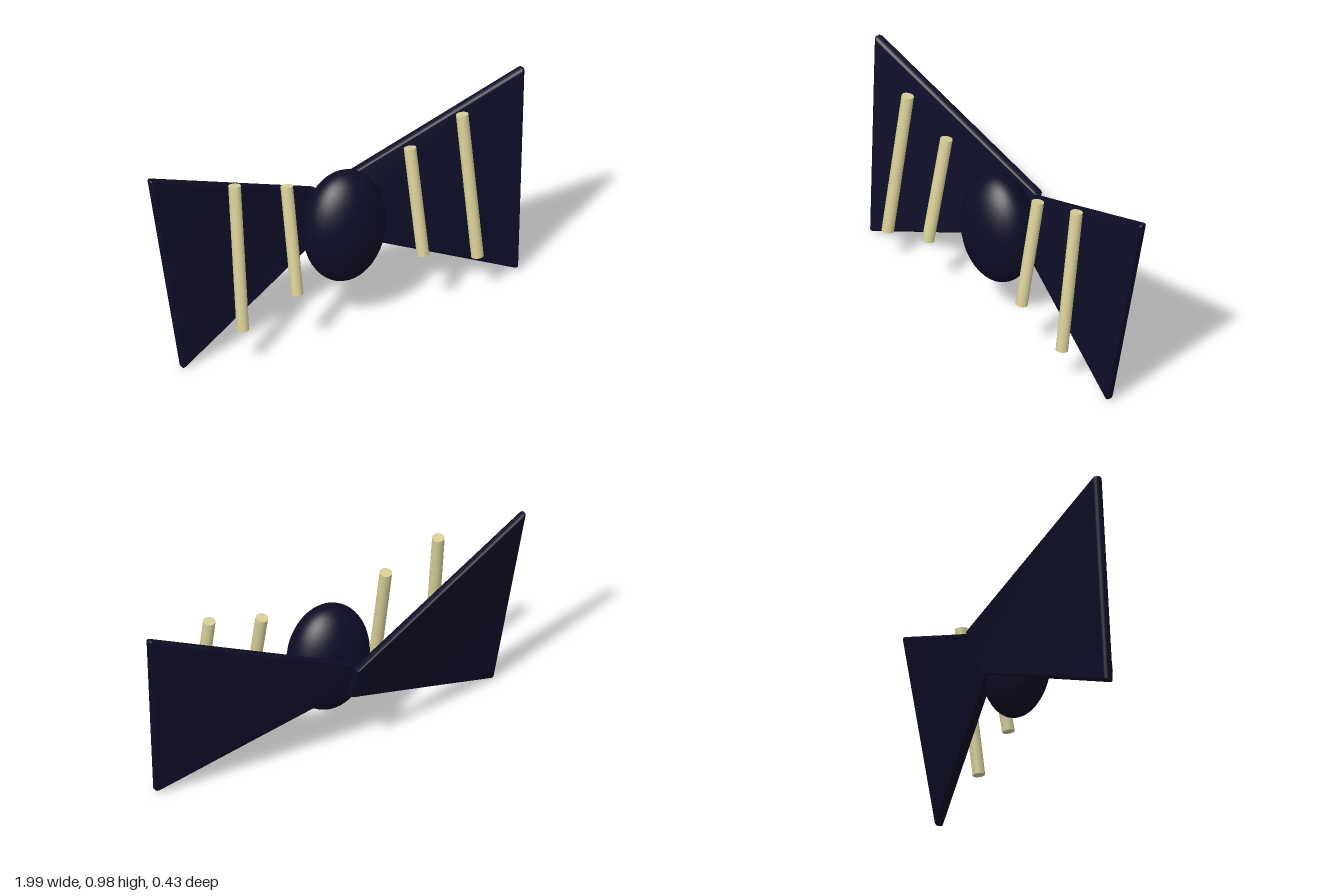
import * as THREE from 'three';
import { mergeVertices } from 'three/addons/utils/BufferGeometryUtils.js';
import { RoundedBoxGeometry } from 'three/addons/geometries/RoundedBoxGeometry.js';

const navy = new THREE.MeshStandardMaterial({ color: 0x0d0d26 });
navy.name = 'navy fabric';
const cream = new THREE.MeshStandardMaterial({ color: 0xd8cf98 });
cream.name = 'cream';

// Rounded plate stretched between four corners: lowA, lowB, highA, highB (A at -x, B at +x)
function plate(lowA, lowB, highA, highB) {
  const g = new RoundedBoxGeometry(1, 1, 0.044, 3, 0.018);
  g.deleteAttribute('uv');
  g.deleteAttribute('normal');
  const p = g.attributes.position;
  const low = new THREE.Vector3(), high = new THREE.Vector3();
  for (let i = 0; i < p.count; i++) {
    const u = p.getX(i) + 0.5, v = p.getY(i) + 0.5, depth = p.getZ(i);
    low.lerpVectors(lowA, lowB, u);
    high.lerpVectors(highA, highB, u);
    low.lerp(high, v);
    p.setXYZ(i, low.x, low.y, low.z + depth);
  }
  const merged = mergeVertices(g, 1e-5);
  merged.computeVertexNormals();
  return merged;
}

// One flared wing; the two differ by a small shift in height and depth
function wing(side, dy, dz) {
  const at = (x, y, z) => new THREE.Vector3(side * x, y + dy, z + dz);
  const innerLow = at(0, 0.375, -0.085), innerHigh = at(0, 0.562, -0.152);
  const outerLow = at(0.89, 0.01, 0.115), outerHigh = at(0.997, 0.99, 0);
  return side > 0
    ? plate(innerLow, outerLow, innerHigh, outerHigh)
    : plate(outerLow, innerLow, outerHigh, innerHigh);
}

// Straight rod between two points
function rod(bottom, top) {
  const axis = top.clone().sub(bottom);
  const m = new THREE.Mesh(new THREE.CylinderGeometry(0.029, 0.029, axis.length(), 20), cream);
  m.position.copy(bottom).add(top).multiplyScalar(0.5);
  m.quaternion.setFromUnitVectors(new THREE.Vector3(0, 1, 0), axis.normalize());
  return m;
}

export function createModel() {
  const model = new THREE.Group();
  model.name = 'bowTie';

  const knot = new THREE.Mesh(new THREE.SphereGeometry(1, 32, 24), navy);
  knot.name = 'knot';
  knot.scale.set(0.205, 0.28, 0.15);
  knot.position.set(0, 0.48, 0.05);
  model.add(knot);

  for (const side of [1, -1]) {
    const label = side > 0 ? 'left' : 'right';
    const w = new THREE.Mesh(side > 0 ? wing(1, 0.004, 0) : wing(-1, -0.006, -0.044), navy);
    w.name = label + 'Wing';
    model.add(w);

    // Leaning stripe rods in front of the wing
    const inner = rod(new THREE.Vector3(side * 0.339, 0.287, 0.188), new THREE.Vector3(side * 0.332, 0.805, 0.086));
    inner.name = label + 'InnerStripe';
    const outer = rod(new THREE.Vector3(side * 0.632, 0.189, 0.188), new THREE.Vector3(side * 0.613, 0.895, 0.086));
    outer.name = label + 'OuterStripe';
    model.add(inner, outer);
  }
  return model;
}
